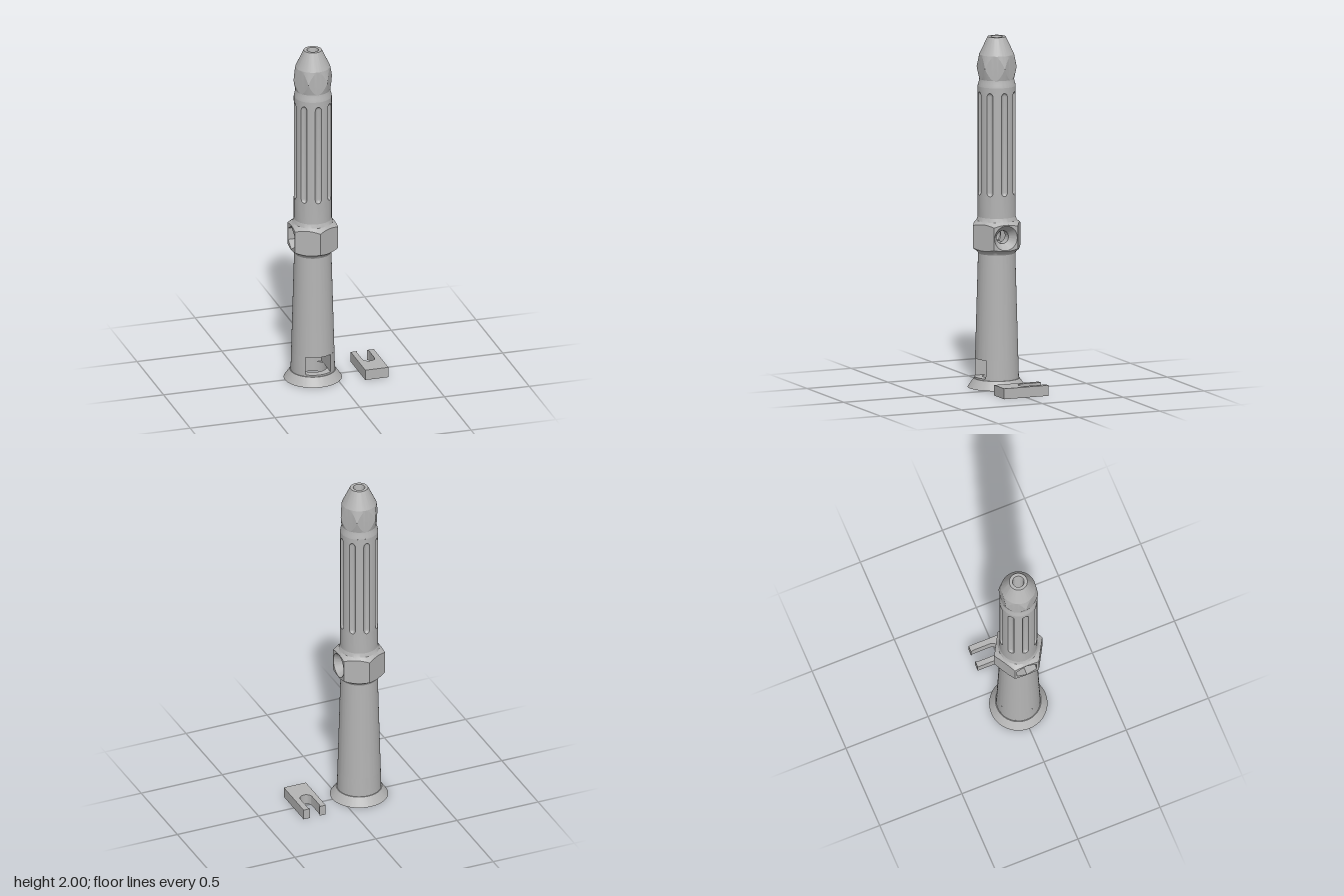
import * as THREE from 'three';
import { toCreasedNormals, mergeVertices } from 'three/addons/utils/BufferGeometryUtils.js';

const PI = Math.PI;
const N = 96;
const grey = new THREE.MeshStandardMaterial({ color: 0xb4b4b4, side: THREE.DoubleSide });
grey.name = 'plain grey';

function part(name, geometry, crease = 0.5) {
  const mesh = new THREE.Mesh(crease ? toCreasedNormals(geometry, crease) : geometry, grey);
  mesh.name = name;
  return mesh;
}

const lathe = (points) =>
  new THREE.LatheGeometry(points.map(([r, y]) => new THREE.Vector2(r, y)), N);

// Surface through a stack of closed loops, each with the same number of points
function skin(rings) {
  const n = rings[0].length, index = [];
  for (let i = 0; i < rings.length - 1; i++)
    for (let j = 0; j < n; j++) {
      const a = i * n + j, b = i * n + ((j + 1) % n);
      index.push(a, b, a + n, b, b + n, a + n);
    }
  const g = new THREE.BufferGeometry();
  g.setAttribute('position', new THREE.Float32BufferAttribute(rings.flat(2), 3));
  g.setIndex(index);
  g.computeVertexNormals();
  return g;
}

const polar = (t, r, y) => [r * Math.sin(t), y, r * Math.cos(t)];

// Round ring; r and y may be functions of the angle
const ring = (r, y) => Array.from({ length: N }, (_, j) => {
  const t = (j / N) * 2 * PI;
  return polar(t, typeof r === 'function' ? r(t) : r, typeof y === 'function' ? y(t) : y);
});

// Radius of a hexagon with the middle of one flat at angle t0
const hexRadius = (apothem, t0) => (t) => {
  const d = t - t0;
  return apothem / Math.cos(d - Math.round(d / (PI / 3)) * (PI / 3));
};

const shankRadius = (y) => 0.125 - 0.02 * (y - 0.05) / 0.71;

// Foot flange with the floor of the slot
function buildFoot() {
  const r = shankRadius(0.06);
  return part('footFlange', lathe([
    [0.08, 0], [0.164, 0], [0.129, 0.05], [r, 0.05], [r, 0.06], [0.08, 0.06], [0.08, 0],
  ]));
}

// Band of the shank with a box slot open to the front
function buildSlot() {
  const w = 0.073, back = -0.0655, bore = 0.08, b = Math.asin(0.046 / bore);
  const loop = (y) => {
    const r = shankRadius(y), a = Math.asin(w / r), pts = [];
    for (let i = 0; i <= 64; i++) pts.push(polar(a + (2 * PI - 2 * a) * i / 64, r, y));
    pts.push([-w, y, back], [-0.046, y, back]);
    for (let i = 1; i < 12; i++) pts.push(polar(PI + b - 2 * b * i / 12, bore, y));
    pts.push([0.046, y, back], [w, y, back]);
    return pts;
  };
  return part('slottedBand', skin([loop(0.06), loop(0.165)]));
}

// Tapered hollow shank
function buildShank() {
  return part('taperedShank', lathe([
    [0.03, 0.828], [0.03, 0.76], [0.08, 0.74], [0.08, 0.165],
    [shankRadius(0.165), 0.165], [0.105, 0.765],
  ]));
}

// Hexagonal collar with a countersunk hole on one side and a nut pocket on the other
function buildCollar() {
  const g = new THREE.Group();
  g.name = 'hexCollar';
  const ap = 0.127, mid = 0.865, half = ap * Math.tan(PI / 6);
  const hex = hexRadius(ap, PI / 2);
  const drop = (r) => (r - ap) * 0.55;
  const low = (t) => 0.79 + drop(hex(t)), high = (t) => 0.94 - drop(hex(t));
  g.add(part('collarLowerBevel', skin([ring(0.105, 0.765), ring(0.111, 0.777), ring(hex, low)])));
  g.add(part('collarUpperBevel', skin([ring(hex, high), ring(0.114, 0.953), ring(0.107, 0.975)])));

  for (let k = 0; k < 6; k++) {
    const pts = [];
    for (const s of [-1, 1])
      for (let i = 0; i <= 16; i++) {
        const u = -s * half * (1 - i / 8);
        const h = 0.075 - drop(Math.hypot(ap, u));
        pts.push(new THREE.Vector2(-u, mid + s * h));
      }
    // lower edge runs left to right, upper edge right to left
    pts.sort((p, q) => Math.atan2(p.y - mid, p.x) - Math.atan2(q.y - mid, q.x));
    const face = new THREE.Shape(pts);
    if (k === 0) face.holes.push(new THREE.Path().absarc(0, mid, 0.07, 0, 2 * PI, true));
    if (k === 3) face.holes.push(new THREE.Path(Array.from({ length: 6 }, (_, i) =>
      new THREE.Vector2(0.069 * Math.sin(i * PI / 3), mid + 0.069 * Math.cos(i * PI / 3)))));
    const geo = new THREE.ShapeGeometry(face, 24);
    geo.translate(0, 0, ap);
    geo.rotateY(PI / 2 + k * PI / 3);
    g.add(part('collarFace', geo, 0));
  }

  // Cross hole: profile along x, split around the central bore
  const sideways = (points) => lathe(points).rotateZ(-PI / 2).translate(0, mid, 0);
  g.add(part('countersink', sideways([[0.07, ap], [0.037, 0.08], [0.037, 0.03]])));
  g.add(part('crossHole', sideways([[0.037, -0.03], [0.037, -0.075]])));

  const pocket = new THREE.CylinderGeometry(0.069, 0.069, 0.052, 6, 1, true);
  pocket.rotateZ(PI / 2).translate(-0.101, mid, 0);
  // turn a corner to the top
  pocket.translate(0, -mid, 0).rotateX(PI / 2).translate(0, mid, 0);
  g.add(part('nutPocket', pocket));
  const floorShape = new THREE.Shape(Array.from({ length: 6 }, (_, i) =>
    new THREE.Vector2(0.069 * Math.sin(i * PI / 3), 0.069 * Math.cos(i * PI / 3))));
  floorShape.holes.push(new THREE.Path().absarc(0, 0, 0.037, 0, 2 * PI, true));
  const floor = new THREE.ShapeGeometry(floorShape, 24);
  floor.rotateY(-PI / 2).translate(-0.075, mid, 0);
  g.add(part('nutPocketFloor', floor, 0));
  return g;
}

// Grip with eight round-ended flutes
function buildGrip() {
  const R = 0.107, y0 = 1.10, y1 = 1.69, end = 0.022;
  const steps = [0, 0.06, 0.2, 0.4, 0.65, 1];
  const ys = [0.975, ...steps.map((s) => y0 + s * end),
    ...steps.map((s) => y1 - s * end).reverse(), 1.72];
  const loop = (y) => {
    const s = Math.max(0, Math.min(1, (y - y0) / end, (y1 - y) / end));
    const f = Math.sqrt(1 - (1 - s) ** 2), a = f * 0.0185 / R, pts = [];
    for (let k = 0; k < 8; k++) {
      const c = k * PI / 4;
      for (let j = -4; j <= 4; j++)
        pts.push(polar(c + a * j / 4, R - 0.015 * f * (1 - (j / 4) ** 2), y));
      for (let j = 1; j < 8; j++) pts.push(polar(c + a + (PI / 4 - 2 * a) * j / 8, R, y));
    }
    return pts;
  };
  return part('flutedGrip', skin(ys.map(loop)), 0.6);
}

// Neck, six-pointed knuckle, conical nose and upper bore
function buildHead() {
  const g = new THREE.Group();
  g.name = 'head';
  const ap = 0.098, hex = hexRadius(ap, 0), tip = ap / Math.cos(PI / 6);
  const away = (t) => (tip - hex(t)) / (tip - ap);
  g.add(part('neck', lathe([[0.107, 1.72], [0.104, 1.735], [0.1, 1.748], [ap, 1.76]])));
  g.add(part('knuckle', skin([
    ring(ap, 1.76),
    ring(hex, (t) => 1.828 - 0.068 * away(t)),
    ring(hex, (t) => 1.828 + 0.068 * away(t)),
    ring(ap, 1.9),
  ]), 0.2));
  g.add(part('noseAndBore', lathe([
    [ap, 1.9], [0.051, 2], [0.033, 2], [0.03, 1.99], [0.03, 0.902],
  ])));
  return g;
}

// Loose U-shaped clip lying beside the shaft
function buildClip() {
  const s = new THREE.Shape();
  s.moveTo(0.147, -0.137);
  s.lineTo(0.283, -0.137);
  s.lineTo(0.283, 0.137);
  s.lineTo(0.244, 0.137);
  s.quadraticCurveTo(0.25, 0.13, 0.25, 0.115);
  s.lineTo(0.25, 0.02);
  s.absarc(0.214, 0.02, 0.036, 0, PI, true);
  s.lineTo(0.178, 0.115);
  s.quadraticCurveTo(0.178, 0.13, 0.184, 0.137);
  s.lineTo(0.147, 0.137);
  const geo = new THREE.ExtrudeGeometry(s, { depth: 0.06, bevelEnabled: false, curveSegments: 20 });
  geo.rotateX(-PI / 2);
  return part('retainingClip', mergeVertices(geo));
}

export function createModel() {
  const model = new THREE.Group();
  model.name = 'flutedHandleAndClip';
  const shaft = new THREE.Group();
  shaft.name = 'shaft';
  shaft.add(buildFoot(), buildSlot(), buildShank(), buildCollar(), buildGrip(), buildHead());
  shaft.position.x = -0.12;
  model.add(shaft, buildClip());
  return model;
}
